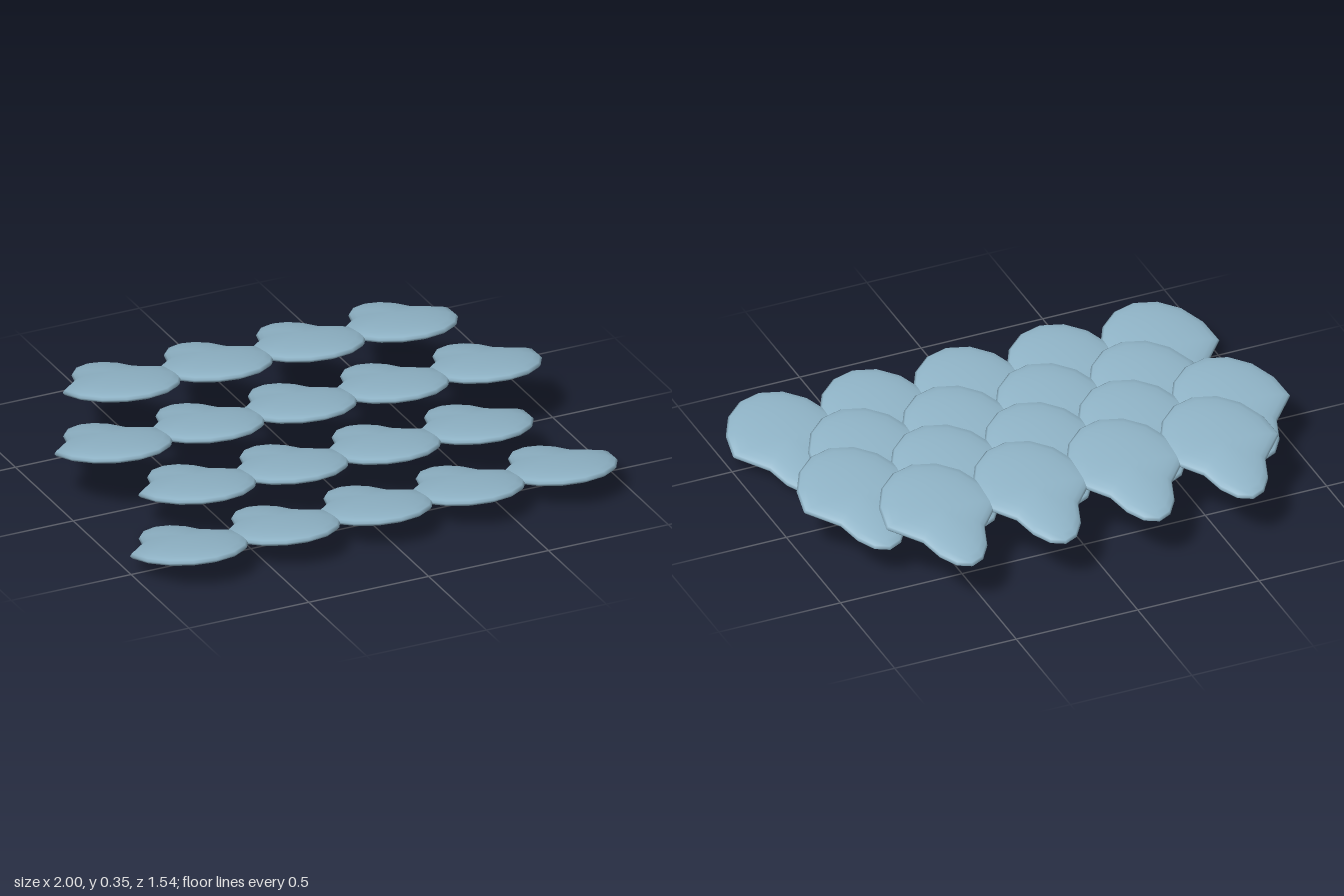
import * as THREE from 'three';
import { mergeVertices } from 'three/addons/utils/BufferGeometryUtils.js';

const HALF_WIDTH = 0.23, HALF_THICK = 0.0365, HALF_LENGTH = 0.288;
const TILT = 0.217, SPACING = 0.385, ROW_DEPTH = 0.327, ROW_RISE = 0.0675;

// Flattened ellipsoid whose rear half narrows to a root
function scaleGeometry() {
  let geo = new THREE.SphereGeometry(1, 16, 12);
  geo.deleteAttribute('uv');
  geo.deleteAttribute('normal');
  geo = mergeVertices(geo, 1e-4);
  const p = geo.attributes.position;
  for (let i = 0; i < p.count; i++) {
    const narrow = p.getZ(i) < -1e-3 ? 0.6 : 1;
    p.setXYZ(i, p.getX(i) * HALF_WIDTH * narrow, p.getY(i) * HALF_THICK, p.getZ(i) * HALF_LENGTH);
  }
  geo.computeVertexNormals();
  return geo;
}

export function createModel() {
  const model = new THREE.Group();
  model.name = 'scalePatch';
  const paleBlue = new THREE.MeshStandardMaterial({ color: 0x8fb3c6 });
  paleBlue.name = 'paleBlue';
  const geo = scaleGeometry();

  // Staggered rows, each higher and further back than the last
  [5, 4, 5, 4].forEach((count, r) => {
    const row = new THREE.Group();
    row.name = `scaleRow${r + 1}`;
    row.position.set(0, 0.0718 + r * ROW_RISE, (1.5 - r) * ROW_DEPTH);
    for (let i = 0; i < count; i++) {
      const scale = new THREE.Mesh(geo, paleBlue);
      scale.name = 'scale';
      scale.position.x = (i - (count - 1) / 2) * SPACING;
      scale.rotation.x = -TILT;
      row.add(scale);
    }
    model.add(row);
  });
  return model;
}
